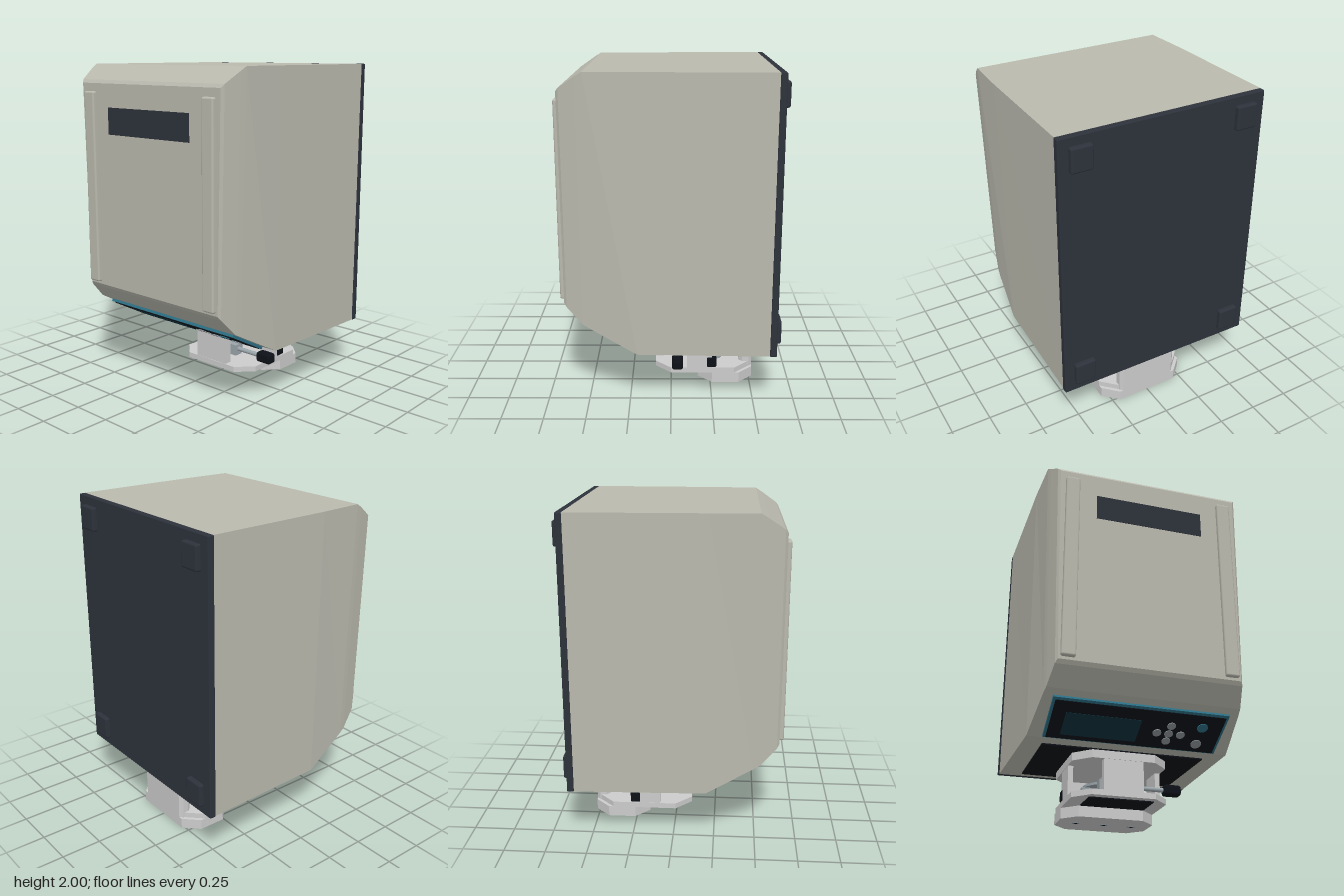
import * as THREE from 'three';
import { RoundedBoxGeometry } from 'three/addons/geometries/RoundedBoxGeometry.js';

const mat = (color) => new THREE.MeshStandardMaterial({ color });
const M = {
  shell: mat(0xb9b9ae), dark: mat(0x2d323b), black: mat(0x0d1117), teal: mat(0x2b6f84),
  screen: mat(0x10303c), metal: mat(0xd6d6d2), steel: mat(0x9aa5ab), button: mat(0x8c9296),
};

function add(parent, name, geometry, material, x = 0, y = 0, z = 0) {
  const mesh = new THREE.Mesh(geometry, material);
  mesh.name = name;
  mesh.position.set(x, y, z);
  parent.add(mesh);
  return mesh;
}
const box = (w, h, d) => new THREE.BoxGeometry(w, h, d);
const rbox = (w, h, d, r) => new RoundedBoxGeometry(w, h, d, 2, r);
const cyl = (r, h, n = 24) => new THREE.CylinderGeometry(r, r, h, n);

// Loft rectangular sections [z, bottom, top, half width at bottom, half width at top]
function loft(sections) {
  const rings = sections.map(([z, b, t, wb, wt]) => [[wb, b, z], [wt, t, z], [-wt, t, z], [-wb, b, z]]);
  const pos = [];
  const quad = (a, b, c, d) => pos.push(...a, ...b, ...c, ...a, ...c, ...d);
  for (let i = 0; i < rings.length - 1; i++) {
    for (let k = 0; k < 4; k++) {
      const n = (k + 1) % 4;
      quad(rings[i][k], rings[i][n], rings[i + 1][n], rings[i + 1][k]);
    }
  }
  quad(...rings[rings.length - 1]);
  quad(...[...rings[0]].reverse());
  const g = new THREE.BufferGeometry();
  g.setAttribute('position', new THREE.Float32BufferAttribute(pos, 3));
  g.computeVertexNormals();
  return g;
}

// Horizontal plate with cut corners, from y0 to y1 and z0 (back) to z1 (front)
function plate(w, z0, z1, y0, y1, c) {
  const s = new THREE.Shape([
    [-w + c, -z1], [w - c, -z1], [w, -z1 + c], [w, -z0 - c],
    [w - c, -z0], [-w + c, -z0], [-w, -z0 - c], [-w, -z1 + c],
  ].map(([x, y]) => new THREE.Vector2(x, y)));
  return new THREE.ExtrudeGeometry(s, { depth: y1 - y0, bevelEnabled: false })
    .rotateX(-Math.PI / 2).translate(0, y0, 0);
}

function createHousing() {
  const g = new THREE.Group();
  g.name = 'housing';
  add(g, 'shell', loft([
    [-0.585, 0.345, 2, 0.635, 0.64],
    [0.2, 0.345, 2, 0.612, 0.625],
    [0.48, 0.498, 2, 0.58, 0.61],
    [0.52, 0.52, 1.975, 0.573, 0.602],
    [0.615, 0.622, 1.91, 0.55, 0.575],
    [0.63, 0.645, 1.89, 0.538, 0.56],
  ]), M.shell);
  add(g, 'backPanel', rbox(1.284, 1.655, 0.04, 0.006), M.dark, 0, 1.1725, -0.603);
  for (const x of [-0.515, 0.515]) {
    for (const y of [0.473, 1.875]) add(g, 'backFoot', rbox(0.132, 0.145, 0.06, 0.012), M.dark, x, y, -0.623);
    add(g, 'frontRail', rbox(0.085, 1.18, 0.05, 0.012), M.shell, Math.sign(x) * 0.483, 1.252, 0.63);
  }
  add(g, 'frontLabel', box(0.665, 0.16, 0.006), M.dark, 0, 1.67, 0.63);
  add(g, 'undersidePlate', box(1, 0.012, 0.62), M.black, 0, 0.343, -0.21);
  return g;
}

function createControlPanel() {
  const g = new THREE.Group();
  g.name = 'controlPanel';
  g.position.set(0, 0.4235, 0.346);
  g.rotation.x = 1.07;
  add(g, 'panelFrame', box(1.045, 0.3, 0.024), M.teal, 0, 0, 0.003);
  add(g, 'panelFace', box(1.015, 0.275, 0.008), M.black, 0, -0.006, 0.015);
  add(g, 'screen', box(0.445, 0.165, 0.004), M.screen, -0.208, -0.03, 0.019);
  const buttons = [
    [0.125, 0.41, 0.026], [0.27, 0.41, 0.026], [0.197, 0.41, 0.026], [0.197, 0.439, 0.026],
    [0.197, 0.383, 0.026], [0.385, 0.383, 0.032], [0.385, 0.444, 0.032],
  ];
  buttons.forEach(([x, y, r], i) => {
    const geo = cyl(r, 0.008).rotateX(Math.PI / 2);
    add(g, 'button', geo, i === 6 ? M.teal : M.button, x, (y - 0.4225) / 0.48, 0.02);
  });
  return g;
}

function createPumpHead() {
  const g = new THREE.Group();
  g.name = 'pumpHead';
  // Plates and the posts between them
  add(g, 'topPlate', plate(0.295, -0.52, 0.1, 0.288, 0.338, 0.1), M.metal);
  add(g, 'middlePlate', plate(0.295, -0.5, 0.1, 0.066, 0.1, 0.1), M.metal);
  add(g, 'basePlate', plate(0.295, -0.52, -0.17, 0, 0.066, 0.09), M.metal);
  add(g, 'frontPost', box(0.245, 0.19, 0.05), M.metal, 0, 0.194, 0.072);
  add(g, 'backWall', plate(0.2, -0.52, -0.44, 0.06, 0.29, 0.02), M.metal);
  for (const s of [-1, 1]) {
    add(g, 'sidePost', box(0.032, 0.19, 0.16), M.metal, s * 0.277, 0.194, -0.18);
    add(g, 'latch', rbox(0.04, 0.065, 0.06, 0.006), M.black, s * 0.278, 0.138, -0.258);
  }
  add(g, 'baseLabel', box(0.4, 0.008, 0.2), M.black, 0, 0.064, -0.05);
  for (const [x, z] of [[-0.18, -0.34], [0, -0.34], [0.18, -0.34]]) {
    add(g, 'baseScrew', cyl(0.026, 0.006), M.steel, x, 0.001, z);
    add(g, 'screwSocket', cyl(0.013, 0.006, 6), M.black, x, 0, z);
  }
  // Rotor with rollers
  add(g, 'rotorDisc', cyl(0.15, 0.015, 32), M.steel, 0, 0.215, -0.29);
  add(g, 'rotorShaft', cyl(0.035, 0.22), M.steel, 0, 0.19, -0.29);
  for (let i = 0; i < 4; i++) {
    const a = (i * Math.PI) / 2;
    add(g, 'roller', cyl(0.036, 0.11), M.steel, 0.128 * Math.cos(a), 0.155, -0.29 + 0.128 * Math.sin(a));
  }
  add(g, 'hub', cyl(0.065, 0.045), M.steel, 0, 0.267, -0.035);
  // Side clamp screw
  add(g, 'clampBlock', box(0.24, 0.07, 0.06), M.steel, 0, 0.16, -0.04);
  add(g, 'clampShaft', cyl(0.014, 0.2).rotateZ(Math.PI / 2), M.steel, 0.21, 0.165, -0.04);
  add(g, 'knob', rbox(0.11, 0.066, 0.07, 0.018), M.black, 0.345, 0.165, -0.04);
  return g;
}

export function createModel() {
  const model = new THREE.Group();
  model.name = 'pumpUnit';
  model.add(createHousing(), createControlPanel(), createPumpHead());
  return model;
}
